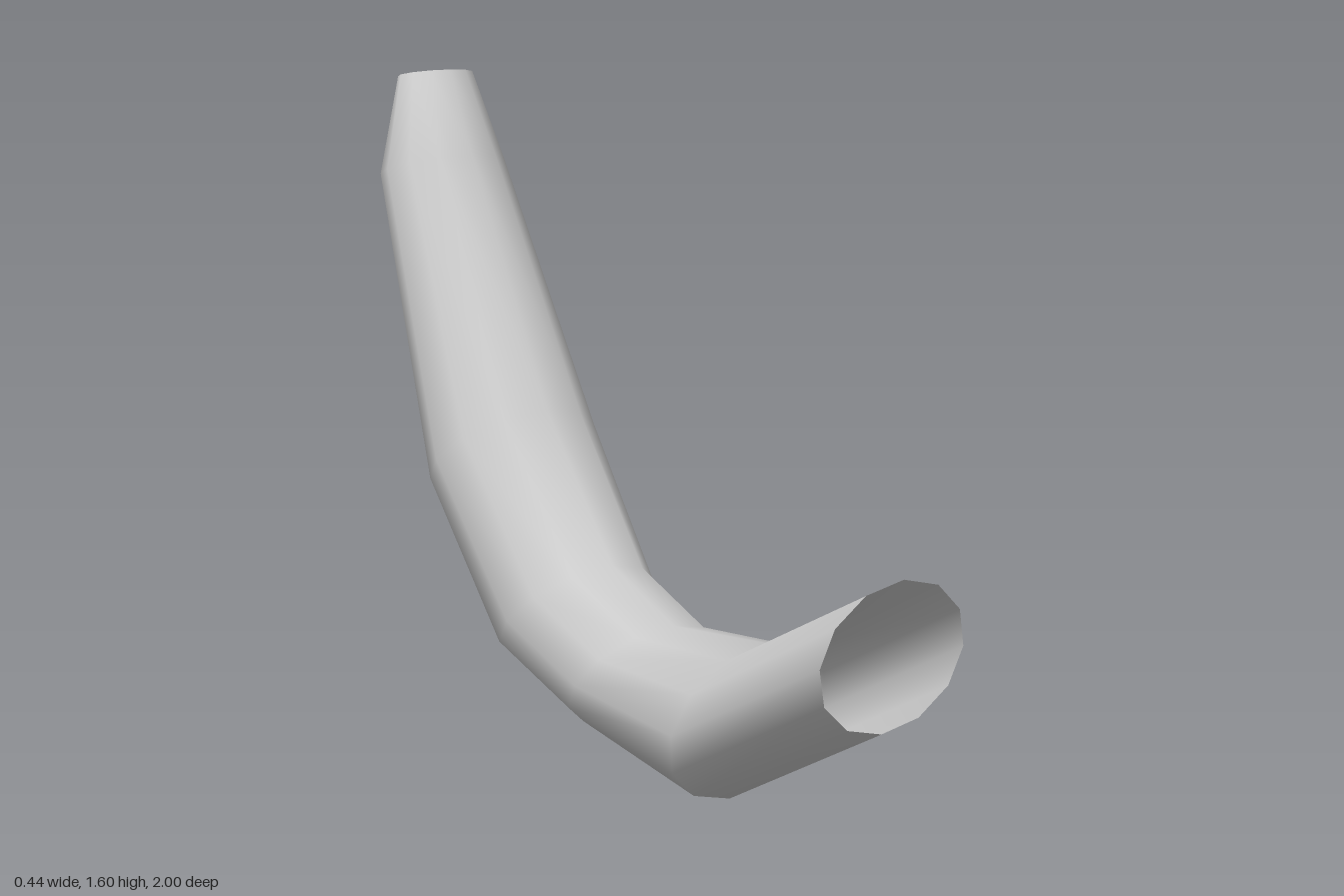
import * as THREE from 'three';

const SIDES = 12;

// Cross-sections from the open end to the tip:
// inner edge (z, y), outer edge (z, y), half width
const SECTIONS = [
  [1.0, 0.615, 0.935, 0.275, 0.19],
  [0.54, 0.39, 0.4, 0.005, 0.21],
  [0.18, 0.36, -0.075, 0.078, 0.19],
  [-0.075, 0.455, -0.39, 0.18, 0.197],
  [-0.36, 0.79, -0.685, 0.545, 0.218],
  [-0.705, 1.39, -1.0, 1.32, 0.16],
  [-0.81, 1.6, -0.96, 1.575, 0.1],
];

// Skin the elliptical sections into a bent tube, closed at the tip only
function bentTube(sections) {
  const positions = [];
  const indices = [];
  for (const [z0, y0, z1, y1, w] of sections) {
    for (let j = 0; j < SIDES; j++) {
      const a = (j / SIDES) * Math.PI * 2;
      const t = (1 - Math.cos(a)) / 2;
      positions.push(Math.sin(a) * w, y0 + (y1 - y0) * t, z0 + (z1 - z0) * t);
    }
  }
  for (let i = 0; i < sections.length - 1; i++) {
    for (let j = 0; j < SIDES; j++) {
      const k = (j + 1) % SIDES;
      const p = i * SIDES + j, q = i * SIDES + k;
      indices.push(p, q, p + SIDES, q, q + SIDES, p + SIDES);
    }
  }
  // Tip cap
  const [z0, y0, z1, y1] = sections[sections.length - 1];
  const last = (sections.length - 1) * SIDES;
  const centre = positions.length / 3;
  positions.push(0, (y0 + y1) / 2, (z0 + z1) / 2);
  for (let j = 0; j < SIDES; j++) {
    indices.push(centre, last + j, last + ((j + 1) % SIDES));
  }
  const geometry = new THREE.BufferGeometry();
  geometry.setAttribute('position', new THREE.Float32BufferAttribute(positions, 3));
  geometry.setIndex(indices);
  geometry.computeVertexNormals();
  return geometry;
}

export function createModel() {
  const group = new THREE.Group();
  const material = new THREE.MeshStandardMaterial({ color: 0xcccccc, side: THREE.DoubleSide });
  const tube = new THREE.Mesh(bentTube(SECTIONS), material);
  tube.name = 'curvedTube';
  group.add(tube);
  return group;
}
